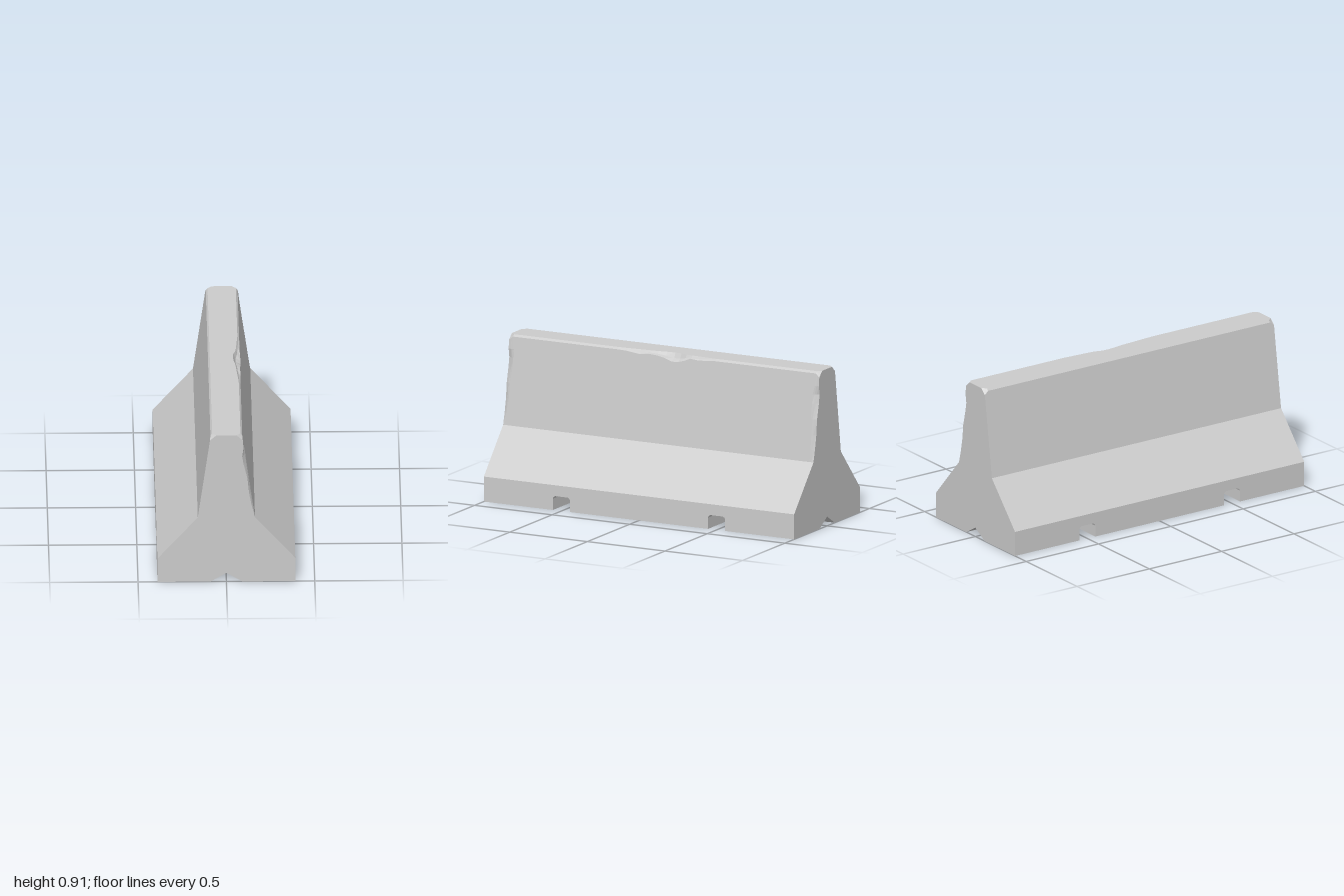
import * as THREE from 'three';

const TOP = 0.912;

// x of the steep upper face at height y
const faceX = (y) => 0.162 - (y - 0.4) * 0.144;

// Broken end edges on the +x face: [height, depth, length along z]
const END_CHIPS = [
  [0.47, 0.008, 0.016], [0.55, 0.012, 0.02], [0.64, 0.008, 0.018],
  [0.73, 0.017, 0.03], [0.78, 0.018, 0.035], [0.83, 0.003, 0.025],
];

// Broken top edge near the middle: [z, x of upper rim, y of lower rim]
const EDGE_CHIP = [
  [0.3, 0.08, 0.9], [0.24, 0.077, 0.898], [0.16, 0.071, 0.889], [0.1, 0.067, 0.896],
  [0.05, 0.063, 0.893], [0, 0.055, 0.884], [-0.05, 0.05, 0.868], [-0.09, 0.053, 0.87],
  [-0.13, 0.066, 0.881], [-0.17, 0.07, 0.897], [-0.22, 0.073, 0.892], [-0.33, 0.08, 0.9],
];

// Underside height across one drainage channel: [z offset, y]
const CHANNEL = [
  [0.055, 0], [0.055, 0.065], [0.051, 0.076], [0.04, 0.082],
  [-0.04, 0.082], [-0.051, 0.076], [-0.055, 0.065], [-0.055, 0],
];

// Closed outline at one station, counter-clockwise seen from the front
function section({ z, base = 0, rimX = 0.08, rimY = 0.9 }) {
  const inset = 1 - Math.abs(z);
  const corner = Math.max(0, 1 - inset / 0.025); // cut corners at both ends
  const bevelY = rimY - 0.02 * corner;
  const bevelX = faceX(bevelY);
  const topX = rimX - 0.023 * corner;
  const hollow = (0.08 - rimX) * 0.25;           // scoops the broken edge
  const points = [
    [-0.39, base], [-0.09, base], [0, Math.max(base, 0.054)], [0.09, base], [0.39, base],
    [0.39, 0.145], [0.162, 0.4],
    ...END_CHIPS.map(([y, depth, length]) =>
      [faceX(y) - depth * Math.max(0, 1 - inset / length), y]),
    [bevelX, bevelY],
    [(bevelX + topX) / 2 - hollow, (bevelY + TOP) / 2 - hollow],
    [topX, TOP],
    [-0.08 + 0.023 * corner, TOP], [-faceX(0.9 - 0.02 * corner), 0.9 - 0.02 * corner],
    [-0.162, 0.4], [-0.39, 0.145],
  ];
  return points.map(([x, y]) => new THREE.Vector3(x, y, z));
}

// Skin the sections from front to back and close both ends
function loft(sections) {
  const positions = [];
  const triangle = (a, b, c) => {
    const area = b.clone().sub(a).cross(c.clone().sub(a)).length();
    if (area > 1e-9) for (const p of [a, b, c]) positions.push(p.x, p.y, p.z);
  };
  for (let s = 0; s < sections.length - 1; s++) {
    const near = sections[s], far = sections[s + 1], n = near.length;
    for (let i = 0; i < n; i++) {
      const j = (i + 1) % n;
      triangle(near[i], far[i], far[j]);
      triangle(near[i], far[j], near[j]);
    }
  }
  const front = sections[0], back = sections[sections.length - 1];
  const flat = (loop) => loop.map((p) => new THREE.Vector2(p.x, p.y));
  for (const [a, b, c] of THREE.ShapeUtils.triangulateShape(flat(front), []))
    triangle(front[a], front[b], front[c]);
  for (const [a, b, c] of THREE.ShapeUtils.triangulateShape(flat(back), []))
    triangle(back[c], back[b], back[a]);
  const geometry = new THREE.BufferGeometry();
  geometry.setAttribute('position', new THREE.Float32BufferAttribute(positions, 3));
  geometry.computeVertexNormals();
  return geometry;
}

export function createModel() {
  const ends = [1, 0.985, 0.975, 0.965];
  const channel = (centre) => CHANNEL.map(([dz, base]) => ({ z: centre + dz, base }));
  const stations = [
    ...ends.map((z) => ({ z })),
    ...channel(0.5),
    ...EDGE_CHIP.map(([z, rimX, rimY]) => ({ z, rimX, rimY })),
    ...channel(-0.5),
    ...ends.slice().reverse().map((z) => ({ z: -z })),
  ];

  const barrier = new THREE.Mesh(
    loft(stations.map(section)),
    new THREE.MeshStandardMaterial({ color: 0xcccccc, flatShading: true }),
  );
  barrier.name = 'concreteBarrier';

  const model = new THREE.Group();
  model.name = 'roadBarrier';
  model.add(barrier);
  return model;
}
